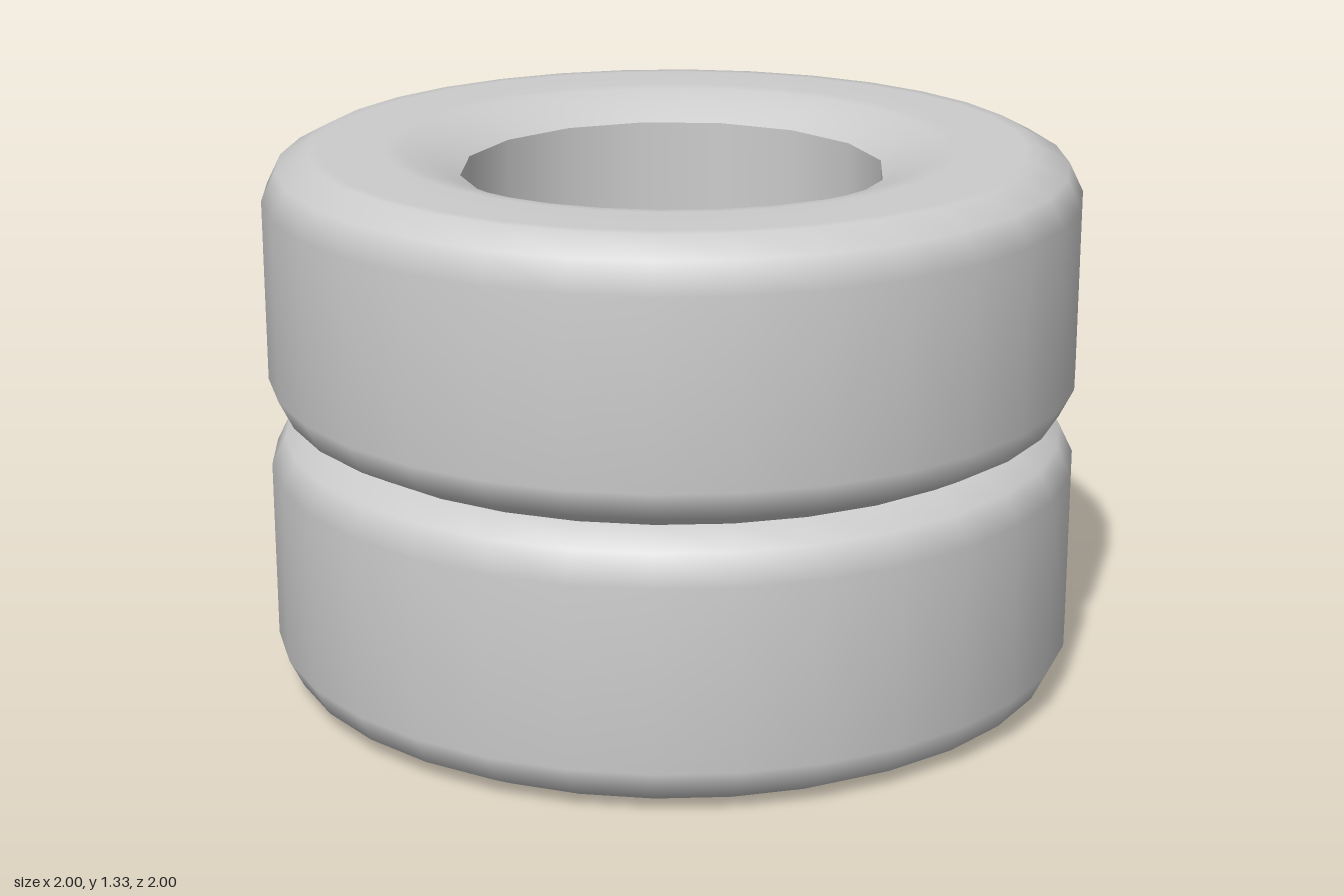
import * as THREE from 'three';

const grey = new THREE.MeshStandardMaterial({ color: 0xcccccc });
grey.name = 'plainGrey';

const SIDES = 32;

function lathe(name, profile, sides) {
  const points = profile.map(([r, y]) => new THREE.Vector2(r, y));
  const mesh = new THREE.Mesh(new THREE.LatheGeometry(points, sides), grey);
  mesh.name = name;
  return mesh;
}

// Rounded tread and shoulders shared by both tyres, from bottom to top
const tread = [
  [0.86, 0], [0.89, 0], [0.965, 0.04], [1, 0.11],
  [1, 0.556], [0.965, 0.627], [0.89, 0.667], [0.86, 0.667],
];

export function createModel() {
  const model = new THREE.Group();
  model.name = 'dualWheel';

  // Lower tyre, with a bevelled recess underneath
  const lower = new THREE.Group();
  lower.name = 'lowerWheel';
  lower.add(lathe('lowerTyre', [[0.69, 0], ...tread, [0.5, 0.667]], SIDES));
  lower.add(lathe('recessBevel', [[0.64, 0.055], [0.69, 0]], SIDES));
  const plate = new THREE.Mesh(new THREE.CircleGeometry(0.645, SIDES), grey);
  plate.name = 'backPlate';
  plate.rotation.x = Math.PI / 2;
  plate.position.y = 0.055;
  lower.add(plate);
  model.add(lower);

  // Upper tyre, sloping in to the lip of the deep rim
  const upper = new THREE.Group();
  upper.name = 'upperWheel';
  upper.position.y = 0.667;
  const profile = [[0.5, 0], ...tread, [0.7, 0.667], [0.66, 0.663], [0.58, 0.637], [0.52, 0.603]];
  const tyre = lathe('upperTyre', profile, SIDES);
  // Pull every other lip vertex onto the chord, so the lip meets the 16-sided rim
  const pos = tyre.geometry.attributes.position;
  const chord = Math.cos(Math.PI / 16);
  for (let col = 1; col < SIDES; col += 2) {
    const i = col * profile.length + profile.length - 1;
    pos.setX(i, pos.getX(i) * chord);
    pos.setZ(i, pos.getZ(i) * chord);
  }
  upper.add(tyre);

  // Deep dished rim: wall and floor
  const floorY = 0.04;
  upper.add(lathe('rimWall', [[0.52, 0.603], [0.52, floorY]], 16));
  upper.add(lathe('rimFloor', [[0.52, floorY], [0.18, floorY]], 16));

  // Hub with a flared foot
  upper.add(lathe('hubFoot', [[0.21, floorY], [0.19, floorY + 0.01], [0.13, floorY + 0.08]], 24));
  const hub = new THREE.Mesh(new THREE.CylinderGeometry(0.132, 0.132, 0.4, 24), grey);
  hub.name = 'hub';
  hub.position.y = floorY + 0.2;
  upper.add(hub);

  // Five wheel nuts
  for (let k = 0; k < 5; k++) {
    const a = (k / 5) * Math.PI * 2;
    const nut = new THREE.Mesh(new THREE.CylinderGeometry(0.035, 0.035, 0.12, 8), grey);
    nut.name = 'wheelNut';
    nut.position.set(0.172 * Math.cos(a), floorY + 0.06, 0.172 * Math.sin(a));
    upper.add(nut);
  }
  model.add(upper);

  return model;
}
